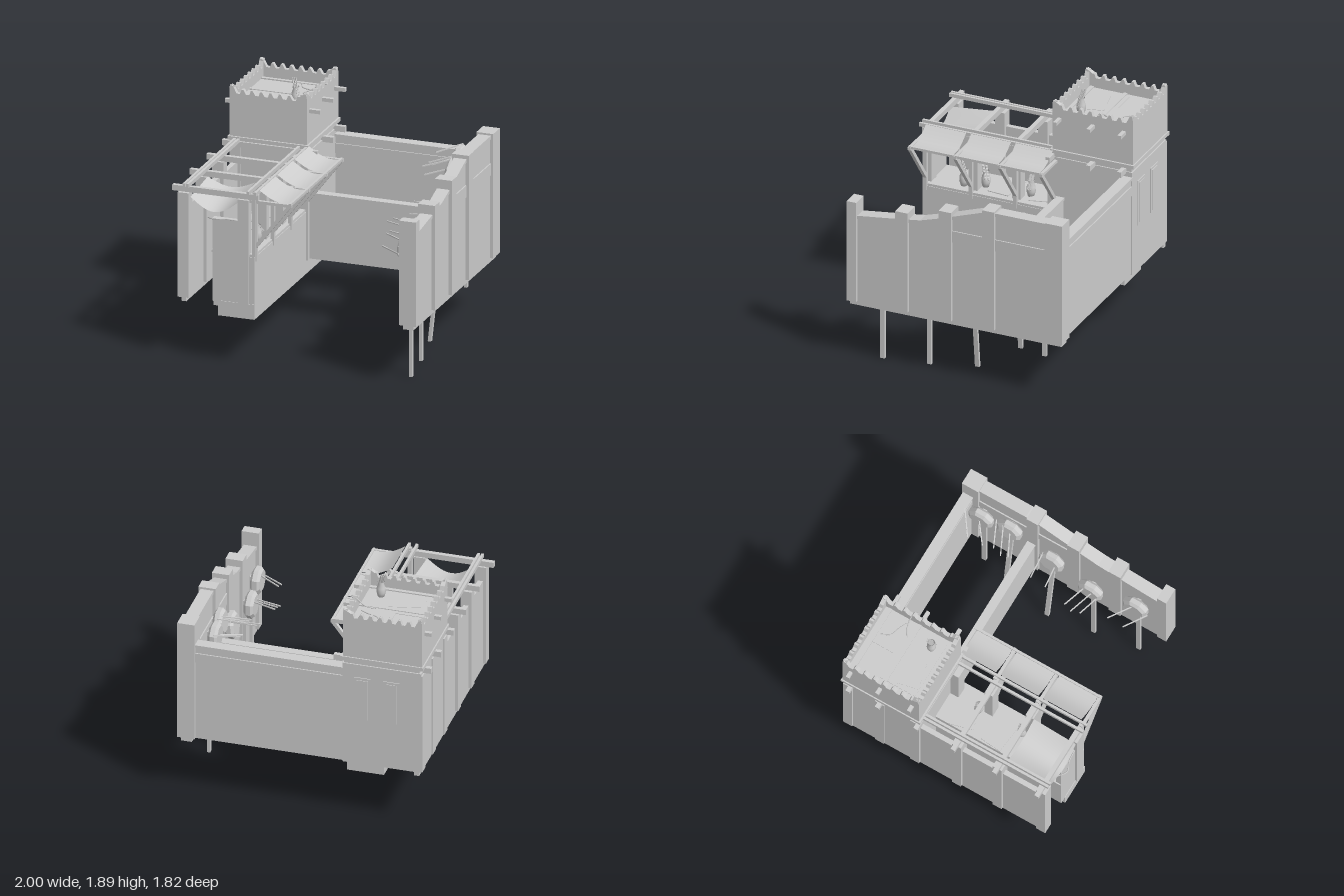
import * as THREE from 'three';

export function createModel() {
  const model = new THREE.Group();
  const clay = new THREE.MeshStandardMaterial({ color: 0xcccccc });
  clay.name = 'clay grey';
  clay.side = THREE.DoubleSide;

  const add = (name, geo, parent = model) => {
    const m = new THREE.Mesh(geo, clay);
    m.name = name;
    parent.add(m);
    return m;
  };
  // Box from its limits
  const box = (name, x0, x1, y0, y1, z0, z1) => add(name,
    new THREE.BoxGeometry(x1 - x0, y1 - y0, z1 - z0)
      .translate((x0 + x1) / 2, (y0 + y1) / 2, (z0 + z1) / 2));
  // Square bar between two points
  const bar = (name, a, b, t, parent = model) => {
    const p = new THREE.Vector3(...a), q = new THREE.Vector3(...b);
    const m = add(name, new THREE.BoxGeometry(t, t, p.distanceTo(q)), parent);
    m.position.copy(p).lerp(q, 0.5);
    m.lookAt(q);
    return m;
  };
  const polygon = pts => new THREE.Shape(pts.map(p => new THREE.Vector2(...p)));
  const extrude = (shape, depth) =>
    new THREE.ExtrudeGeometry(shape, { depth, bevelEnabled: false });
  // Profile drawn in z and y, extruded between two x limits
  const sidePanel = (name, pts, x0, x1) =>
    add(name, extrude(polygon(pts), x1 - x0).rotateY(-Math.PI / 2).translate(x1, 0, 0));

  // Right wall with sloping cap and buttresses
  const slope = [[0.87, 1.215], [0.49, 1.265], [0.28, 1.295], [0.12, 1.345], [-0.24, 1.47], [-0.36, 1.485], [-0.89, 1.485]];
  sidePanel('rightWall', [[0.875, 0.46], ...slope, [-0.9, 0.46]], 0.885, 0.97);
  sidePanel('rightWallCap', [...slope, ...slope.map(([z, y]) => [z, y - 0.028]).reverse()], 0.876, 0.979);
  box('rightWallBand', 0.875, 0.98, 1.165, 1.26, -0.8, 0.06);
  const buttresses = [[0.81, 0.89, 1.34], [0.38, 0.485, 1.34], [0.015, 0.12, 1.42], [-0.345, -0.245, 1.5], [-0.915, -0.77, 1.5]];
  for (const [z0, z1, top] of buttresses) box('rightButtress', 0.86, 0.997, 0.495, top, z0, z1);

  // Back wall and lower cross wall
  box('backWall', -0.32, 0.88, 0.495, 1.3, -0.89, -0.83);
  box('backWallCap', -0.32, 0.88, 1.3, 1.32, -0.905, -0.815);
  box('backWallBand', -0.32, 0.88, 1.165, 1.245, -0.9, -0.82);
  box('crossWall', -0.32, 0.88, 0.495, 1.015, -0.325, -0.275);
  box('crossWallCap', -0.32, 0.88, 1.01, 1.03, -0.335, -0.265);

  // Tower body, ledge and upper room
  box('towerBase', -0.935, -0.31, 0.49, 1.36, -0.9, -0.24);
  box('towerLedge', -0.955, -0.3, 1.395, 1.425, -0.915, -0.215);
  box('towerUnderLedge', -0.92, -0.32, 1.35, 1.4, -0.89, -0.25);
  box('towerRoom', -0.945, -0.315, 1.42, 1.67, -0.905, -0.23);
  box('towerFloor', -0.93, -0.33, 1.66, 1.69, -0.89, -0.245);

  // Scalloped parapet on four sides
  const parapet = (len) => {
    const n = 7, edge = 0.05, step = (len - 2 * edge) / n;
    const pts = [[0, 1.66], [0, 1.8], [0.01, 1.835], [0.03, 1.825]];
    for (let i = 0; i <= n; i++) {
      const x = edge + i * step;
      if (i > 0) pts.push([x - 0.028, 1.805], [x - 0.012, 1.805]);
      if (i < n) pts.push([x + 0.008, 1.77], [x + step - 0.04, 1.77]);
    }
    pts.push([len - 0.03, 1.825], [len - 0.01, 1.835], [len, 1.8], [len, 1.66]);
    return extrude(polygon(pts), 0.035);
  };
  for (const z of [-0.905, -0.265]) add('parapet', parapet(0.63).translate(-0.945, 0, z));
  for (const x of [-0.91, -0.315]) add('parapetSide', parapet(0.675).rotateY(-Math.PI / 2).translate(x, 0, -0.905));

  // Projecting beam ends
  for (const z of [-0.83, -0.57, -0.29]) box('upperBeam', -1, -0.225, 1.67, 1.7, z - 0.015, z + 0.015);
  for (const z of [-0.83, -0.57, -0.23]) box('lowerBeam', -1, -0.225, 1.345, 1.39, z - 0.018, z + 0.018);

  // Back windows of the tower: frame and shutter
  for (const x of [-0.47, -0.7]) {
    box('windowFrame', x - 0.065, x + 0.065, 0.87, 1.25, -0.907, -0.9);
    box('windowShutter', x - 0.045, x + 0.045, 0.89, 1.23, -0.912, -0.906);
  }

  // Left wall and its buttresses
  box('leftWall', -0.92, -0.88, 0.46, 1.22, -0.9, 0.87);
  for (const z of [-0.86, -0.58, -0.27, 0.1, 0.46, 0.845])
    box('leftButtress', -0.945, -0.855, 0.495, 1.34, z - 0.04, z + 0.04);

  // Walkway block with its plinth and parapet
  box('plinth', -0.62, -0.325, 0.38, 0.5, -0.83, 0.87);
  box('plinthStep', -0.66, -0.6, 0.455, 0.5, -0.83, 0.86);
  box('walkway', -0.67, -0.325, 0.49, 0.88, -0.25, 0.865);
  box('walkwayFloor', -0.68, -0.33, 0.88, 0.9, -0.25, 0.86);
  box('frontParapet', -0.67, -0.45, 0.88, 1.16, 0.82, 0.865);
  for (const z of [-0.2, 0.1, 0.46, 0.845])
    box('walkwayPost', -0.46, -0.37, 0.495, 1.34, z - 0.035, z + 0.035);
  box('sidePostFront', -0.35, -0.32, 0.85, 1.34, 0.83, 0.86);

  // Pergola beams
  for (const z of [0.1, 0.465, 0.84]) box('crossBeam', -1, -0.3, 1.34, 1.385, z - 0.018, z + 0.018);
  for (const x of [-0.895, -0.865, -0.375, -0.315]) box('longRail', x - 0.01, x + 0.01, 1.385, 1.415, -0.23, 0.885);
  // Awning brackets
  for (const z of [-0.26, 0.085, 0.46, 0.84]) {
    box('bracketPost', -0.345, -0.315, 0.85, 1.4, z - 0.015, z + 0.015);
    box('bracketArm', -0.37, -0.03, 1.315, 1.338, z - 0.013, z + 0.013);
    bar('bracketBrace', [-0.335, 0.95, z], [-0.05, 1.32, z], 0.028);
  }
  box('awningRail', -0.055, -0.035, 1.325, 1.345, -0.27, 0.85);

  // Hanging cloths: height given by a rule over u and v
  const cloth = (name, x0, x1, z0, z1, height) => {
    const g = new THREE.PlaneGeometry(1, 1, 12, 12);
    const p = g.attributes.position;
    for (let i = 0; i < p.count; i++) {
      const u = p.getX(i) + 0.5, v = 0.5 - p.getY(i);
      p.setXYZ(i, x0 + (x1 - x0) * u, height(u, v), z0 + (z1 - z0) * v);
    }
    g.computeVertexNormals();
    return add(name, g);
  };
  for (const [z0, z1] of [[-0.24, 0.07], [0.11, 0.445], [0.485, 0.825]])
    cloth('sideAwning', -0.3, -0.035, z0, z1, u => 1.415 - 0.075 * u - 0.035 * Math.sin(Math.PI * u));
  cloth('frontAwning', -0.845, -0.46, 0.5, 0.87,
    (u, v) => 1.35 - (0.06 + 0.04 * v) * Math.sin(Math.PI * u) - 0.04 * v);

  // Pots filled with arrows
  const potProfile = [[0, 0], [0.025, 0], [0.036, 0.04], [0.034, 0.08], [0.02, 0.115], [0.028, 0.135], [0.02, 0.13]]
    .map(p => new THREE.Vector2(...p));
  for (const [x, y, z] of [[-0.47, 1.69, -0.4], [-0.47, 0.9, 0.02], [-0.47, 0.9, 0.4], [-0.42, 0.9, 0.56]]) {
    const pot = new THREE.Group();
    pot.name = 'arrowPot';
    pot.position.set(x, y, z);
    add('pot', new THREE.LatheGeometry(potProfile, 14), pot);
    for (let i = 0; i < 6; i++) {
      const c = Math.cos(i * 1.05), s = Math.sin(i * 1.05);
      bar('potArrow', [c * 0.008, 0.06, s * 0.008], [c * 0.022, 0.2, s * 0.022], 0.006, pot);
    }
    model.add(pot);
  }

  // Floor mats and ropes
  const mat = (x, y, z, w, d, turn) => {
    const m = add('mat', new THREE.BoxGeometry(w, 0.006, d));
    m.position.set(x, y, z);
    m.rotation.y = turn;
  };
  mat(-0.69, 1.694, -0.43, 0.28, 0.17, 0.22);
  mat(-0.53, 0.904, -0.06, 0.26, 0.19, 0.25);
  mat(-0.53, 0.904, 0.25, 0.28, 0.18, -0.1);
  add('floorPatch', extrude(polygon([[-0.87, 0.31], [-0.87, 0.62], [-0.65, 0.62], [-0.65, 0.83], [-0.39, 0.83], [-0.39, 0.31]]), 0.008)
    .rotateX(-Math.PI / 2).translate(0, 1.686, 0));
  const rope = pts => add('rope', new THREE.TubeGeometry(
    new THREE.CatmullRomCurve3(pts.map(p => new THREE.Vector3(...p))), 20, 0.005, 5));
  rope([[-0.57, 1.7, -0.79], [-0.53, 1.7, -0.72], [-0.45, 1.7, -0.69], [-0.39, 1.7, -0.66]]);
  rope([[-0.49, 1.7, -0.6], [-0.42, 1.73, -0.64], [-0.34, 1.79, -0.64], [-0.3, 1.79, -0.61]]);
  rope([[-0.71, 1.155, 0.85], [-0.64, 1.165, 0.9], [-0.56, 1.165, 0.87], [-0.47, 1.16, 0.86]]);

  // Targets on poles, stuck with arrows; two of them lean
  const rim = [[0, -0.038], [0.085, -0.038], [0.11, -0.018], [0.11, 0.018], [0.085, 0.038], [0, 0.038]]
    .map(p => new THREE.Vector2(...p));
  const disc = new THREE.LatheGeometry(rim, 8, Math.PI / 8).rotateZ(Math.PI / 2).toNonIndexed();
  disc.computeVertexNormals();
  const targets = [[0.81, 0.27, -0.685, 0], [0.735, 0.255, -0.45, -0.1], [0.74, 0.025, -0.09, -0.11], [0.81, 0, 0.28, 0], [0.867, 0, 0.645, 0]];
  targets.forEach(([x, y, z, lean], n) => {
    const t = new THREE.Group();
    t.name = 'archeryTarget';
    t.position.set(x, y, z);
    t.rotation.z = lean;
    add('pole', new THREE.BoxGeometry(0.024, 1.06, 0.036).translate(0, 0.53, 0), t);
    add('targetDisc', disc, t).position.set(-0.048, 1.03, 0);
    for (let i = 0; i < 2 + n % 2; i++) {
      const s = [0.04, -0.05, 0.0][i];
      bar('arrow', [-0.05, 1.03 - s, s], [-0.25 - 0.02 * i, 1.05 + 0.03 * i, s * 1.7], 0.009, t);
    }
    model.add(t);
  });

  return model;
}
